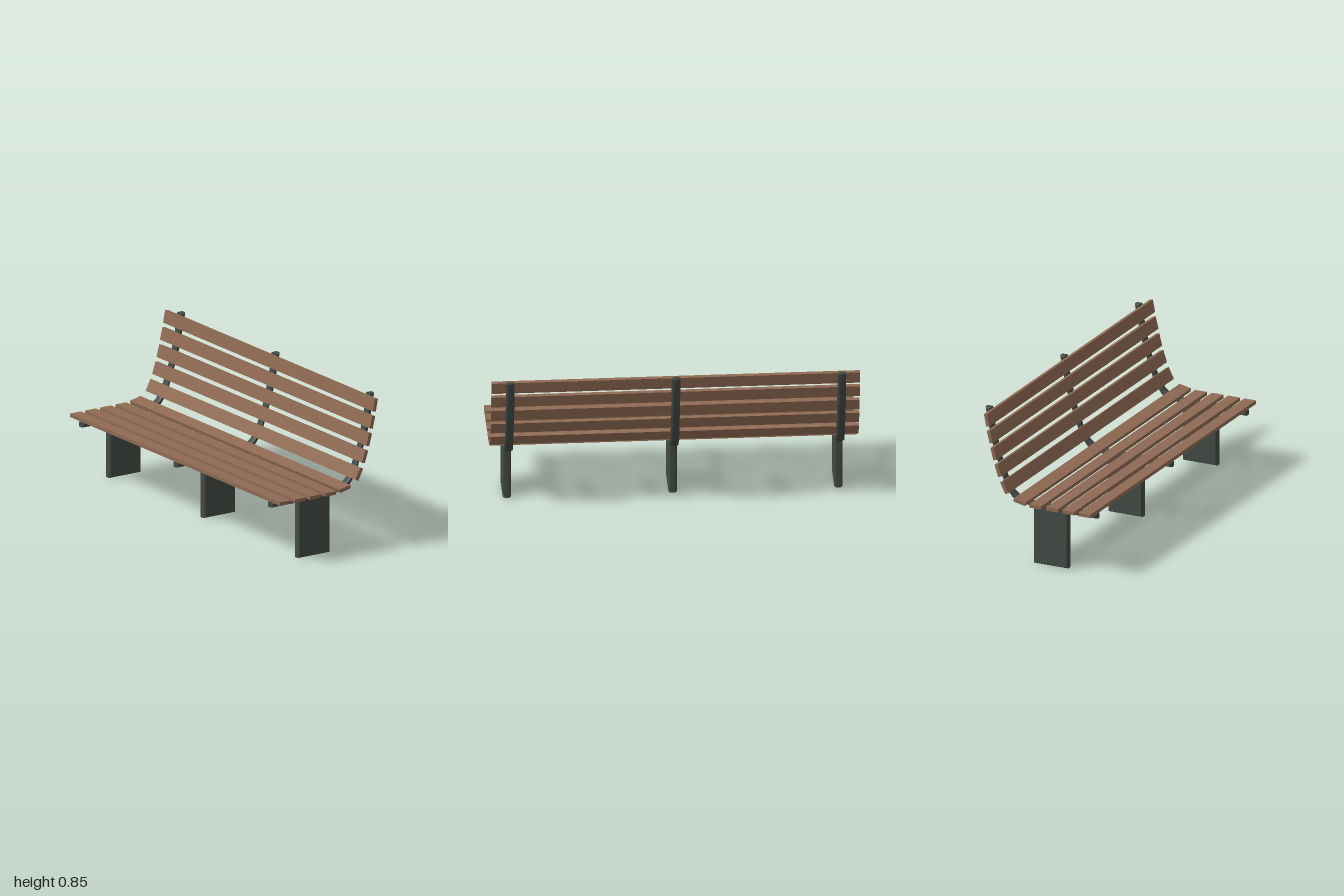
import * as THREE from 'three';
import { toCreasedNormals } from 'three/addons/utils/BufferGeometryUtils.js';

export function createModel() {
  const bench = new THREE.Group();
  bench.name = 'bench';

  const wood = new THREE.MeshStandardMaterial({ color: 0x8f6a53 });
  wood.name = 'brown wood';
  const metal = new THREE.MeshStandardMaterial({ color: 0x434a45 });
  metal.name = 'dark grey metal';

  // Side profile of a support: leg, seat arm and curved back in one piece
  const outline = [
    [-0.163, 0], [0.045, 0], [0.045, 0.321], [0.13, 0.335], [0.17, 0.353],
    [0.2, 0.39], [0.23, 0.45], [0.25, 0.506], [0.275, 0.58], [0.3, 0.66],
    [0.32, 0.755], [0.338, 0.853], [0.306, 0.853], [0.292, 0.76], [0.276, 0.68],
    [0.256, 0.595], [0.234, 0.525], [0.21, 0.463], [0.187, 0.418],
    [0.165, 0.388], [0.141, 0.369], [0.1, 0.357], [0.045, 0.349],
    [-0.04, 0.346], [-0.34, 0.345], [-0.34, 0.316], [-0.163, 0.316],
  ];
  const shape = new THREE.Shape(outline.map(([x, y]) => new THREE.Vector2(x, y)));
  const width = 0.046, chamfer = 0.01;
  const extruded = new THREE.ExtrudeGeometry(shape, {
    depth: width - 2 * chamfer,
    bevelThickness: chamfer, bevelSize: 0.006, bevelOffset: -0.006, bevelSegments: 1,
  });
  extruded.translate(0, 0, chamfer - width / 2);
  const supportGeometry = toCreasedNormals(extruded, 0.5);

  ['right', 'middle', 'left'].forEach((side, i) => {
    const support = new THREE.Mesh(supportGeometry, metal);
    support.name = `${side}Support`;
    support.position.z = (1 - i) * 0.9;
    bench.add(support);
  });

  // Slats: centre x, centre y, tilt in degrees
  const slatGeometry = new THREE.BoxGeometry(0.071, 0.02, 2);
  function addSlats(name, rows) {
    const group = new THREE.Group();
    group.name = name;
    rows.forEach(([x, y, tilt], i) => {
      const slat = new THREE.Mesh(slatGeometry, wood);
      slat.name = `${name}${i + 1}`;
      slat.position.set(x, y, 0);
      slat.rotation.z = THREE.MathUtils.degToRad(tilt);
      group.add(slat);
    });
    bench.add(group);
  }
  addSlats('seatSlat', [
    [-0.305, 0.358, 0], [-0.207, 0.358, 0], [-0.108, 0.358, 0],
    [-0.007, 0.358, 0], [0.09, 0.37, 12.5],
  ]);
  addSlats('backSlat', [
    [0.182, 0.437, 63], [0.22, 0.53, 72], [0.247, 0.622, 75.5],
    [0.269, 0.716, 76.5], [0.288, 0.81, 79],
  ]);

  return bench;
}
